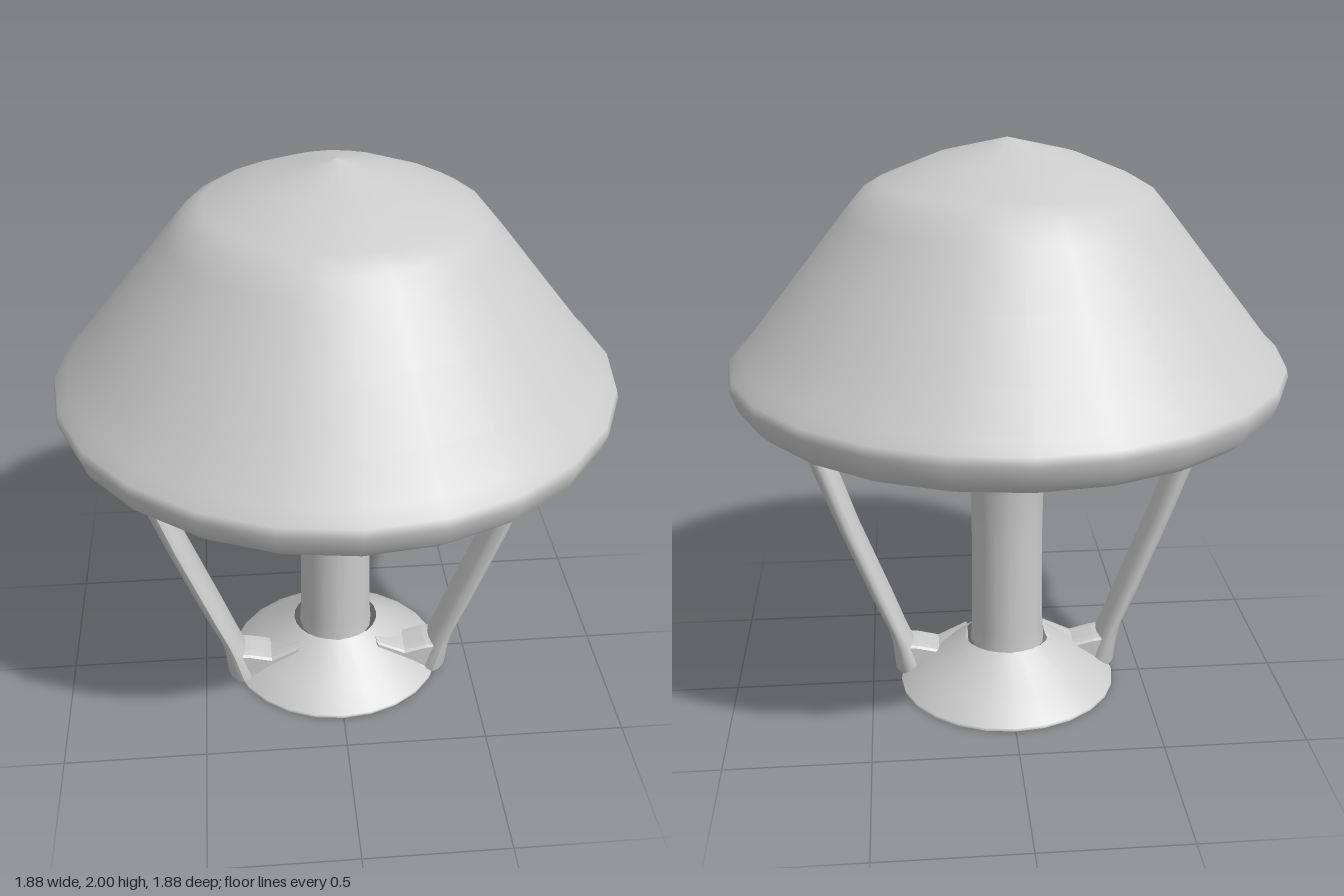
import * as THREE from 'three';

const material = new THREE.MeshStandardMaterial({ color: 0xcccccc });

// Revolves bands of [radius, y] points, listed upwards; edges between bands stay sharp.
function turned(name, segments, bands) {
  const group = new THREE.Group();
  group.name = name;
  bands.forEach((band) => {
    const points = band.map(([r, y]) => new THREE.Vector2(r, y));
    const mesh = new THREE.Mesh(new THREE.LatheGeometry(points, segments), material);
    mesh.name = name + 'Surface';
    group.add(mesh);
  });
  return group;
}

// Leg levels: [y, inner x, outer x, half depth]
const LEVELS = [
  [0, 0.31, 0.395, 0.07], [0.02, 0.3, 0.415, 0.08], [0.13, 0.345, 0.425, 0.0825],
  [0.19, 0.37, 0.44, 0.0825], [0.33, 0.42, 0.5, 0.0825], [0.62, 0.53, 0.61, 0.0825],
  [1.16, 0.705, 0.805, 0.0825],
];
const LEG_Z = 0.0825;

// A cylinder whose rings are moved to the leg levels
function legGeometry(side) {
  const n = LEVELS.length - 1;
  const geo = new THREE.CylinderGeometry(1, 1, 1, 14, n);
  const pos = geo.attributes.position;
  for (let i = 0; i < pos.count; i++) {
    const [y, inner, outer, depth] = LEVELS[Math.round((pos.getY(i) + 0.5) * n)];
    const x = side * (inner + outer) / 2 + pos.getX(i) * (outer - inner) / 2;
    pos.setXYZ(i, x, y, LEG_Z + pos.getZ(i) * depth);
  }
  geo.computeVertexNormals();
  return geo;
}

// Low web joining a leg foot to the base
function footGeometry(side) {
  const outline = [[0.15, 0.01], [0.37, 0.01], [0.37, 0.125], [0.33, 0.12], [0.25, 0.1], [0.15, 0.15]];
  const shape = new THREE.Shape(outline.map(([x, y]) => new THREE.Vector2(side * x, y)));
  const geo = new THREE.ExtrudeGeometry(shape, {
    depth: 0.07, bevelEnabled: true, bevelThickness: 0.03, bevelSize: 0.01, bevelSegments: 2,
  });
  return geo.translate(0, 0, LEG_Z - 0.035);
}

export function createModel() {
  const model = new THREE.Group();
  model.name = 'tableLamp';

  // Shade: closed underside, rounded rim and dome
  model.add(turned('shade', 24, [
    [[0, 1.148], [0.885, 1.148]],
    [[0.885, 1.148], [0.918, 1.18], [0.94, 1.245], [0.932, 1.275], [0.89, 1.315], [0.8, 1.43],
      [0.665, 1.6], [0.535, 1.765], [0.48, 1.83], [0.42, 1.865], [0.24, 1.94], [0, 2]],
  ]));

  // Base: flared foot with a flat underside
  const base = turned('base', 24, [
    [[0, 0], [0.365, 0]],
    [[0.365, 0], [0.365, 0.012], [0.29, 0.07], [0.145, 0.185]],
  ]);
  base.scale.x = 1.08;
  model.add(base);

  // Stem: slim column widening into a collar under the shade
  const stem = turned('stem', 16, [
    [[0.148, 0.17], [0.142, 0.25], [0.139, 0.6], [0.144, 0.9], [0.185, 1.0], [0.218, 1.015],
      [0.238, 1.04], [0.236, 1.07], [0.226, 1.088], [0.18, 1.095]],
    [[0.18, 1.095], [0.157, 1.15]],
  ]);
  stem.scale.x = 0.915;
  model.add(stem);

  // Two slanted legs with their webs
  for (const [side, word] of [[1, 'left'], [-1, 'right']]) {
    const leg = new THREE.Mesh(legGeometry(side), material);
    leg.name = word + 'Leg';
    const foot = new THREE.Mesh(footGeometry(side), material);
    foot.name = word + 'Foot';
    model.add(leg, foot);
  }
  return model;
}
